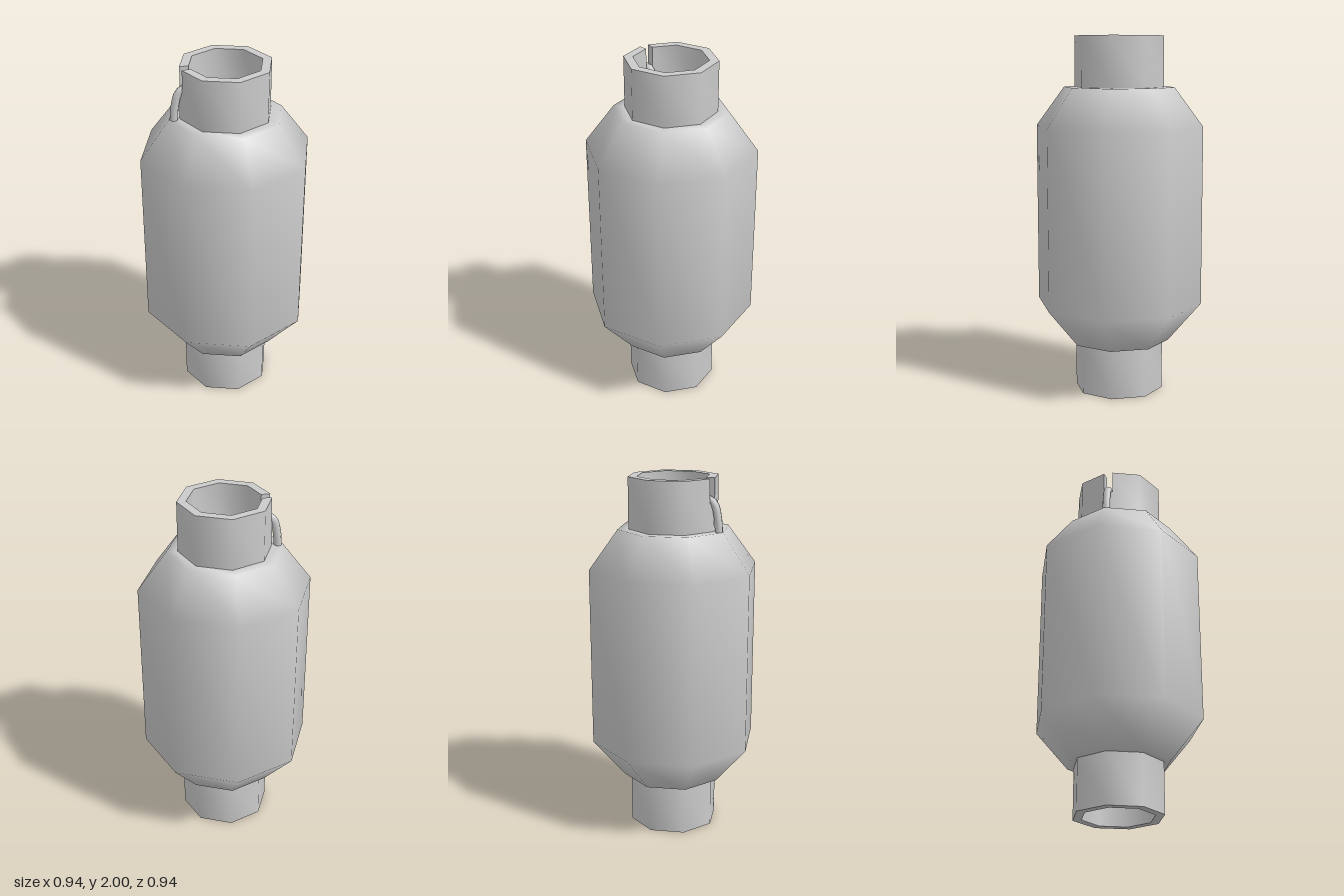
import * as THREE from 'three';
import { toCreasedNormals } from 'three/addons/utils/BufferGeometryUtils.js';

const SIDES = 8;
const STEP = (Math.PI * 2) / SIDES;
const TOP = 2;
const SHOULDER = 1.72;
const OUTER = 0.25;
const INNER = 0.2;

// Distance from the axis to an octagon's wall at a given angle
function octagon(radius, angle) {
  const local = ((angle % STEP) + STEP) % STEP - STEP / 2;
  return (radius * Math.cos(STEP / 2)) / Math.cos(local);
}

function lathe(points) {
  return new THREE.LatheGeometry(points.map(([r, y]) => new THREE.Vector2(r, y)), SIDES);
}

// Octagonal collar with a slot cut into one corner of its rim
function slottedCollar(slotAngle, halfWidth, slotFloor) {
  const a = slotAngle - halfWidth;
  const b = slotAngle + halfWidth;
  const sections = [[a, TOP], [a, slotFloor], [slotAngle, slotFloor], [b, slotFloor], [b, TOP]];
  for (let i = 1; i < SIDES; i++) sections.push([slotAngle + i * STEP, TOP]);
  sections.push([a + Math.PI * 2, TOP]);

  const positions = [];
  const index = [];
  sections.forEach(([angle, top], i) => {
    const profile = [[OUTER, SHOULDER], [OUTER, top], [INNER, top], [INNER, SHOULDER]];
    profile.forEach(([radius, y], j) => {
      const r = octagon(radius, angle);
      positions.push(r * Math.sin(angle), y, r * Math.cos(angle));
      if (i < sections.length - 1 && j < 3) {
        const p = i * 4 + j;
        index.push(p, p + 4, p + 1, p + 5, p + 1, p + 4);
      }
    });
  });
  const geometry = new THREE.BufferGeometry();
  geometry.setAttribute('position', new THREE.Float32BufferAttribute(positions, 3));
  geometry.setIndex(index);
  return toCreasedNormals(geometry, 0.9);
}

export function createModel() {
  const group = new THREE.Group();
  const material = new THREE.MeshStandardMaterial({ color: 0xcccccc, side: THREE.DoubleSide });
  const add = (name, geometry) => {
    const mesh = new THREE.Mesh(geometry, material);
    mesh.name = name;
    group.add(mesh);
  };

  // Barrel with sloping shoulders and flat ledges around both necks
  add('body', lathe([
    [OUTER, 0.285], [0.285, 0.285], [0.47, 0.505],
    [0.47, 1.505], [0.31, SHOULDER], [OUTER, SHOULDER],
  ]));

  // Lower neck and the bore running up through the body
  add('lowerNeck', toCreasedNormals(lathe([
    [INNER, SHOULDER], [INNER, 0], [OUTER, 0], [OUTER, 0.285],
  ]), 0.9));

  // Upper neck, slotted where the wire passes
  add('upperNeck', slottedCollar(-STEP, 0.105, 1.87));

  // Wire rising from the shoulder, through the slot and down into the bore
  const path = [
    [0.2, 1.7], [0.195, 1.79], [0.178, 1.87], [0.145, 1.89], [0.115, 1.85], [0.107, 1.72],
  ].map(([s, y]) => new THREE.Vector3(-s, y, s));
  add('wire', new THREE.TubeGeometry(new THREE.CatmullRomCurve3(path), 16, 0.022, 8));

  return group;
}
